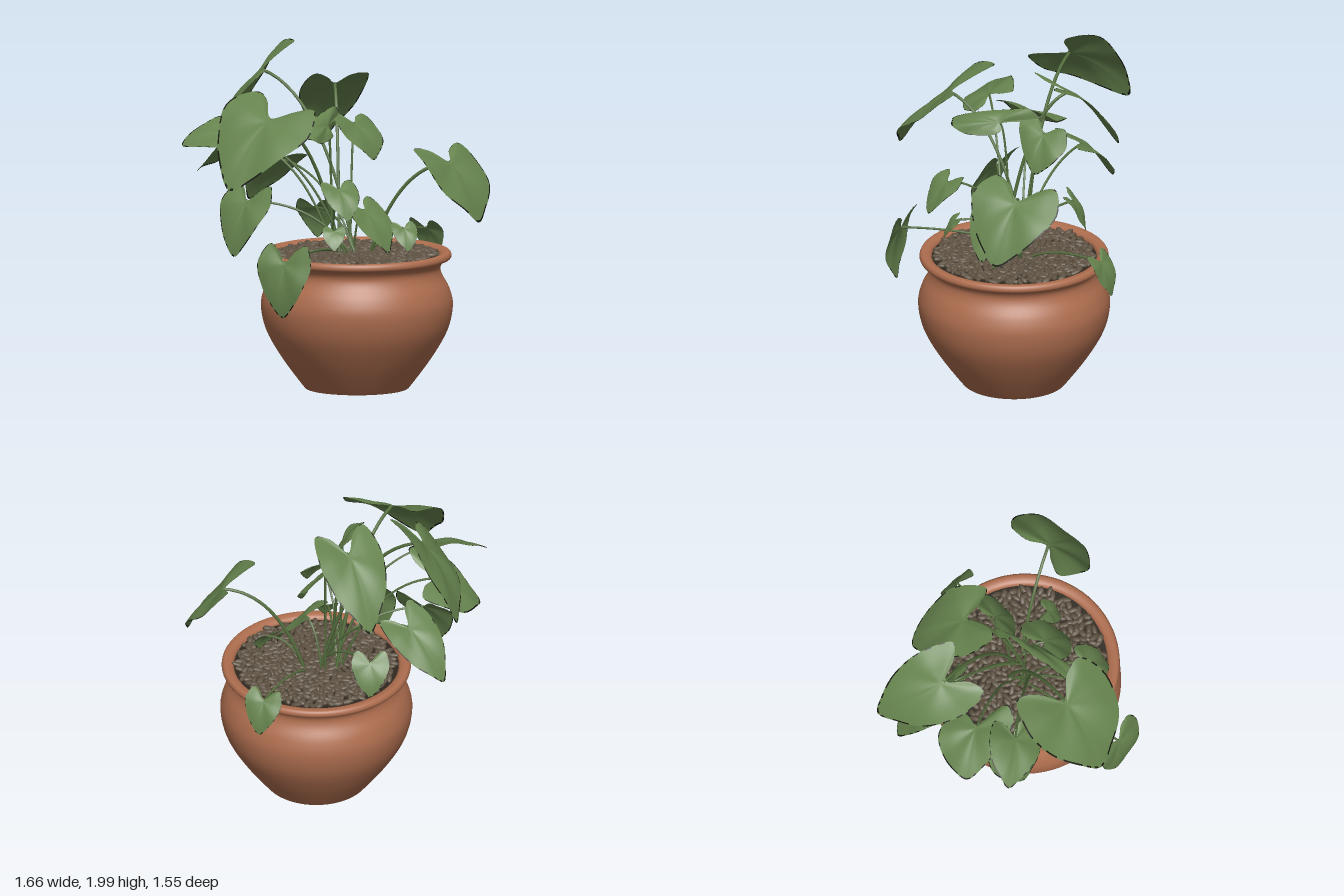
import * as THREE from 'three';
import { mergeGeometries } from 'three/addons/utils/BufferGeometryUtils.js';

const clay = new THREE.MeshStandardMaterial({ color: 0xad6d4e });
clay.name = 'terracotta';
const green = new THREE.MeshStandardMaterial({ color: 0x66834e, side: THREE.DoubleSide });
green.name = 'leaf green';
const rimDark = new THREE.MeshStandardMaterial({ color: 0x14170e, side: THREE.DoubleSide });
rimDark.name = 'leaf edge black';
const stemGreen = new THREE.MeshStandardMaterial({ color: 0x56703f });
stemGreen.name = 'stem green';
const stone = new THREE.MeshStandardMaterial({ color: 0x5e5242 });
stone.name = 'pebble brown';
const earth = new THREE.MeshStandardMaterial({ color: 0x2f2820 });
earth.name = 'dark soil';

const CX = 0.11, CZ = 0.22; // pot axis
const V = (x, y, z) => new THREE.Vector3(x, y, z);
let seed = 7;
const rnd = () => (seed = (seed * 16807) % 2147483647) / 2147483647;

function add(parent, name, geo, mat) {
  const m = new THREE.Mesh(geo, mat);
  m.name = name;
  parent.add(m);
}

// Heart outline: s across the leaf, t from lobes (0) to tip (1)
const half = [[0.42, 0.05], [0.9, 0], [1.15, 0.27], [0.93, 0.58], [0.42, 0.86]];
const outline = new THREE.CatmullRomCurve3([
  V(0, 0.22, 0), ...half.map(([s, t]) => V(s, t, 0)), V(0, 1, 0),
  ...half.slice().reverse().map(([s, t]) => V(-s, t, 0)),
], true);
const HUB = 0.27;

// Blade spanned by two lobe ends and a tip, bowed along its length, with a patchy dark edge
function makeBlade(lobeA, lobeB, tip) {
  const mid = lobeA.clone().add(lobeB).multiplyScalar(0.5);
  const u = lobeB.clone().sub(lobeA).multiplyScalar(0.5);
  const v = tip.clone().sub(mid);
  if (u.clone().cross(v).y < 0) u.negate(); // upper side faces up
  const n = u.clone().cross(v).normalize();
  const len = v.length(), wid = u.length();
  const place = (s, t, ang) => {
    const bow = 0.44 * len * t * (1 - t);
    const midrib = 0.1 * wid * (1 - Math.min(1, Math.abs(s) * 1.6)) * (1 - t);
    const droop = 0.14 * wid * s * s * t;
    const ripple = 0.06 * wid * Math.sin(ang * 5) * Math.abs(s);
    return mid.clone().addScaledVector(u, s).addScaledVector(v, t).addScaledVector(n, bow - midrib - droop + ripple);
  };
  const N = 60, R = 8, pos = place(0, HUB, 0).toArray(), blade = [], rim = [];
  for (let r = 1; r <= R; r++) for (let i = 0; i < N; i++) {
    const p = outline.getPoint(i / N), k = r < R ? (0.97 * r) / (R - 1) : 1;
    pos.push(...place(p.x * k, HUB + (p.y - HUB) * k, (i / N) * Math.PI * 2).toArray());
  }
  for (let i = 0; i < N; i++) {
    const j = (i + 1) % N;
    blade.push(0, 1 + i, 1 + j);
    for (let r = 0; r < R - 1; r++) {
      const a = 1 + r * N + i, b = 1 + r * N + j;
      const target = r === R - 2 && rnd() < 0.5 ? rim : blade;
      target.push(a, a + N, b + N, a, b + N, b);
    }
  }
  const geo = new THREE.BufferGeometry();
  geo.setAttribute('position', new THREE.Float32BufferAttribute(pos, 3));
  geo.setIndex([...blade, ...rim]);
  geo.addGroup(0, blade.length, 0);
  geo.addGroup(blade.length, rim.length, 1);
  geo.computeVertexNormals();
  return { geo, joint: place(0, 0.24, 0) };
}

// Stem arching from the soil to the leaf joint
function makeStem(base, end, radius) {
  const ctrl = base.clone().lerp(end, 0.35);
  ctrl.y = base.y + (end.y - base.y) * 0.85 + 0.06;
  return new THREE.TubeGeometry(new THREE.QuadraticBezierCurve3(base, ctrl, end), 20, radius, 6);
}

// Large leaves: both lobe ends and the tip
const largeLeaves = {
  tallBackLeaf: [V(-0.36, 1.77, -0.17), V(-0.04, 2, -0.3), V(-0.17, 1.47, -0.77)],
  topLeaf: [V(-0.07, 1.81, -0.03), V(0.29, 1.82, 0.02), V(0.21, 1.37, -0.44)],
  bigRightLeaf: [V(-0.46, 1.76, -0.03), V(-0.25, 1.66, 0.47), V(-0.8, 1.24, 0.4)],
  bigLeftLeaf: [V(0.32, 1.43, 0.53), V(0.74, 1.4, 0.31), V(0.66, 1, 0.72)],
  centreLeaf: [V(0.1, 1.6, 0.01), V(-0.08, 1.47, 0.27), V(-0.33, 1.53, 0.34)],
  innerLeaf: [V(0.29, 1.55, -0.04), V(0, 1.61, 0.04), V(0.24, 1.32, 0.17)],
  outerRightLeaf: [V(-0.45, 1.56, -0.16), V(-0.5, 1.44, 0.11), V(-0.83, 1.43, -0.18)],
  backRightLeaf: [V(-0.26, 1.37, -0.36), V(-0.38, 1.53, -0.01), V(-0.64, 1.24, -0.37)],
  lowBackLeaf: [V(-0.22, 1.36, -0.27), V(0.05, 1.3, -0.3), V(-0.17, 1, -0.65)],
};

// Small hanging leaf: level lobes, set back and up from the tip along its heading
function hangingLeaf(tip, heading, reach, drop) {
  const c = Math.cos(heading), s = Math.sin(heading), w = 0.36 * Math.hypot(reach, drop);
  const lobe = (k) => V(tip.x - c * reach - s * w * k, tip.y + drop, tip.z - s * reach + c * w * k);
  return [lobe(-1), lobe(1), tip];
}
const smallLeaves = {
  smallLeftLeaf: hangingLeaf(V(0.73, 0.67, -0.05), -0.5, 0.11, 0.25),
  droopingRightLeaf: hangingLeaf(V(-0.55, 0.5, 0.6), 2.55, 0.06, 0.42),
  sideRightLeaf: hangingLeaf(V(-0.58, 0.78, 0), 2.75, 0.18, 0.4),
  frontHeartLeaf: hangingLeaf(V(-0.15, 1.05, 0.65), 1.6, 0.19, 0.21),
  frontLeaf: hangingLeaf(V(0.18, 0.82, 0.5), 1.15, 0.26, 0.29),
  smallFrontLeaf: hangingLeaf(V(0.31, 0.82, 0.5), 1.65, 0.11, 0.16),
  smallInnerLeaf: hangingLeaf(V(-0.18, 0.86, 0.52), 2, 0.1, 0.13),
  smallBackLeaf: hangingLeaf(V(0.1, 0.81, -0.29), -0.9, 0.12, 0.24),
};

export function createModel() {
  const model = new THREE.Group();
  model.name = 'pottedPlant';

  // Pot
  const pot = new THREE.Group();
  pot.name = 'pot';
  pot.position.set(CX, 0, CZ);
  model.add(pot);
  const wall = new THREE.SplineCurve([
    [0.3, 0], [0.315, 0.01], [0.44, 0.18], [0.53, 0.34], [0.56, 0.48], [0.54, 0.58], [0.497, 0.66],
    [0.488, 0.71], [0.515, 0.75], [0.545, 0.76], [0.552, 0.78], [0.54, 0.8], [0.51, 0.8], [0.485, 0.785], [0.475, 0.75],
  ].map(([x, y]) => new THREE.Vector2(x, y)));
  add(pot, 'potWall', new THREE.LatheGeometry(wall.getPoints(70), 72), clay);
  add(pot, 'potBase', new THREE.CircleGeometry(0.3, 72).rotateX(Math.PI / 2), clay);

  // Soil covered with pebbles
  add(pot, 'soil', new THREE.CircleGeometry(0.482, 48).rotateX(-Math.PI / 2).translate(0, 0.773, 0), earth);
  const pebbles = [], count = 520;
  for (let i = 0; i < count; i++) {
    const r = 0.46 * Math.sqrt((i + 0.5) / count), a = i * 2.39996 + rnd() * 0.05;
    const g = new THREE.SphereGeometry(1, 8, 6);
    g.scale(0.029 + rnd() * 0.012, 0.012 + rnd() * 0.005, 0.015 + rnd() * 0.006);
    g.rotateZ((rnd() - 0.5) * 0.7).rotateY(rnd() * Math.PI);
    g.translate(r * Math.cos(a), 0.781 + rnd() * 0.009, r * Math.sin(a));
    pebbles.push(g);
  }
  add(pot, 'pebbles', mergeGeometries(pebbles), stone);

  // Leaves, each with a stem from the clump in the soil
  const foliage = new THREE.Group();
  foliage.name = 'foliage';
  model.add(foliage);
  Object.entries({ ...largeLeaves, ...smallLeaves }).forEach(([name, corners], i) => {
    const { geo, joint } = makeBlade(...corners);
    add(foliage, name, geo, [green, rimDark]);
    const x = joint.x > 0.2 ? 0.19 : 0.05 + 0.07 * Math.cos(i * 2.4);
    const base = V(x, 0.77, 0.17 + 0.07 * Math.sin(i * 2.4));
    add(foliage, name + 'Stem', makeStem(base, joint, i < 4 ? 0.01 : 0.007), stemGreen);
  });
  return model;
}
